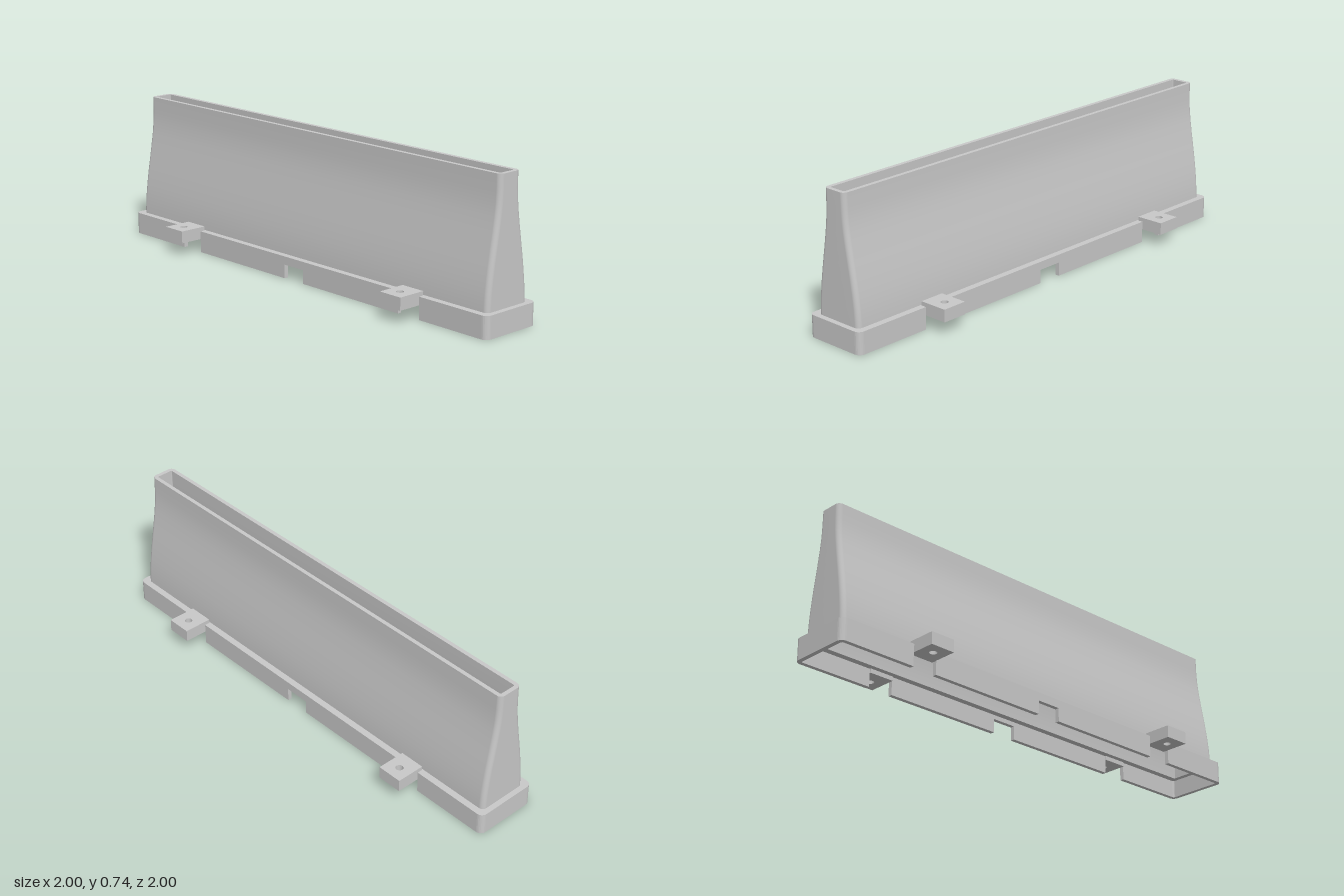
import * as THREE from 'three';

const concrete = new THREE.MeshStandardMaterial({ color: 0xc8c8c8 });
concrete.name = 'concrete grey';

// Counter-clockwise outline of a rounded rectangle, half sizes l by w
function outline(l, w, r) {
  const pts = [], n = 6;
  [[1, 1], [-1, 1], [-1, -1], [1, -1]].forEach(([sx, sy], q) => {
    for (let i = 0; i <= n; i++) {
      const a = (q + i / n) * Math.PI / 2;
      pts.push(new THREE.Vector2(sx * (l - r) + r * Math.cos(a), sy * (w - r) + r * Math.sin(a)));
    }
  });
  return pts;
}

function slab(shape, y0, y1) {
  return new THREE.ExtrudeGeometry(shape, { depth: y1 - y0, bevelEnabled: false, curveSegments: 20 })
    .rotateX(-Math.PI / 2).translate(0, y0, 0);
}

function ring(outer, inner) {
  const s = new THREE.Shape(outer);
  s.holes.push(new THREE.Path(inner));
  return s;
}

// Smooth skin through stacked outlines; inward flips the faces
function skin(levels, inward) {
  const pos = [], idx = [], n = levels[0].pts.length;
  levels.forEach(({ y, pts }) => pts.forEach(p => pos.push(p.x, y, -p.y)));
  for (let k = 0; k < levels.length - 1; k++) {
    for (let i = 0; i < n; i++) {
      const a = k * n + i, b = k * n + (i + 1) % n, c = a + n, d = b + n;
      if (inward) idx.push(a, c, b, b, c, d);
      else idx.push(a, b, c, b, d, c);
    }
  }
  const g = new THREE.BufferGeometry();
  g.setAttribute('position', new THREE.Float32BufferAttribute(pos, 3));
  g.setIndex(idx);
  g.computeVertexNormals();
  return g;
}

export function createModel() {
  const model = new THREE.Group();
  model.name = 'roadBarrier';
  const body = new THREE.Group();
  body.name = 'barrierBody';
  body.rotation.y = -Math.PI / 4;
  model.add(body);
  const add = (name, geo) => {
    const m = new THREE.Mesh(geo, concrete);
    m.name = name;
    body.add(m);
    return m;
  };

  const L = 1.264, W = 0.168, T = 0.022;         // base half sizes and thickness
  const wallL = 1.236, wallT = 0.021;            // upper wall
  const notch = 0.067, notchH = 0.07, tabU = 0.784;
  const top = 0.737, baseTop = 0.112, ledge = 0.092;

  // Upper wall: half width against height
  const profile = [[ledge, 0.134], [0.14, 0.133], [0.2, 0.129], [0.26, 0.122], [0.33, 0.112], [0.4, 0.1],
    [0.47, 0.088], [0.54, 0.077], [0.6, 0.07], [0.66, 0.067], [top, 0.066]];
  const outer = profile.map(([y, w]) => ({ y, pts: outline(wallL, w, 0.025) }));
  const inner = profile.map(([y, w]) => ({ y, pts: outline(wallL - wallT, w - wallT, 0.005) }));
  add('wallOuter', skin(outer, false));
  add('wallInner', skin(inner, true));
  const rimShape = ring(outer.at(-1).pts, inner.at(-1).pts);
  add('wallRim', new THREE.ShapeGeometry(rimShape).rotateX(-Math.PI / 2).translate(0, top, 0));

  // Base: ledge under the wall and the band above the notches
  const baseOuter = outline(L, W, 0.03), baseInner = outline(L - T, W - T, 0.01);
  add('baseLedge', slab(ring(baseOuter, inner[0].pts), ledge, baseTop));
  add('baseBand', slab(ring(baseOuter, baseInner), notchH, ledge));

  // Base skirt: U-shaped ends and straight lengths between the notches
  const cut = tabU + notch;
  const uPoints = [
    new THREE.Vector2(cut, -W),
    ...baseOuter.slice(21), ...baseOuter.slice(0, 7),
    new THREE.Vector2(cut, W), new THREE.Vector2(cut, W - T),
    ...baseInner.slice(0, 7).reverse(), ...baseInner.slice(21).reverse(),
    new THREE.Vector2(cut, -(W - T)),
  ];
  const endGeo = slab(new THREE.Shape(uPoints), 0, notchH);
  const barGeo = new THREE.BoxGeometry(tabU - 2 * notch, notchH, T);

  // Bolt tab with a round hole
  const tabIn = 0.14, tabOut = 0.29, half = 0.066;
  const tabShape = new THREE.Shape([
    new THREE.Vector2(-half, tabIn), new THREE.Vector2(half, tabIn),
    new THREE.Vector2(half, tabOut), new THREE.Vector2(-half, tabOut)]);
  const hole = new THREE.Path();
  hole.absarc(0, 0.224, 0.019, 0, Math.PI * 2, true);
  tabShape.holes.push(hole);
  const tabGeo = slab(tabShape, notchH, 0.133);

  for (const s of [1, -1]) {
    add('skirtEnd', endGeo).rotation.y = s > 0 ? 0 : Math.PI;
    for (const side of [1, -1]) {
      add('skirtBar', barGeo).position.set(s * tabU / 2, notchH / 2, side * (W - T / 2));
      const tab = add('boltTab', tabGeo);
      tab.position.x = s * tabU;
      tab.rotation.y = side > 0 ? 0 : Math.PI;
    }
  }
  return model;
}
